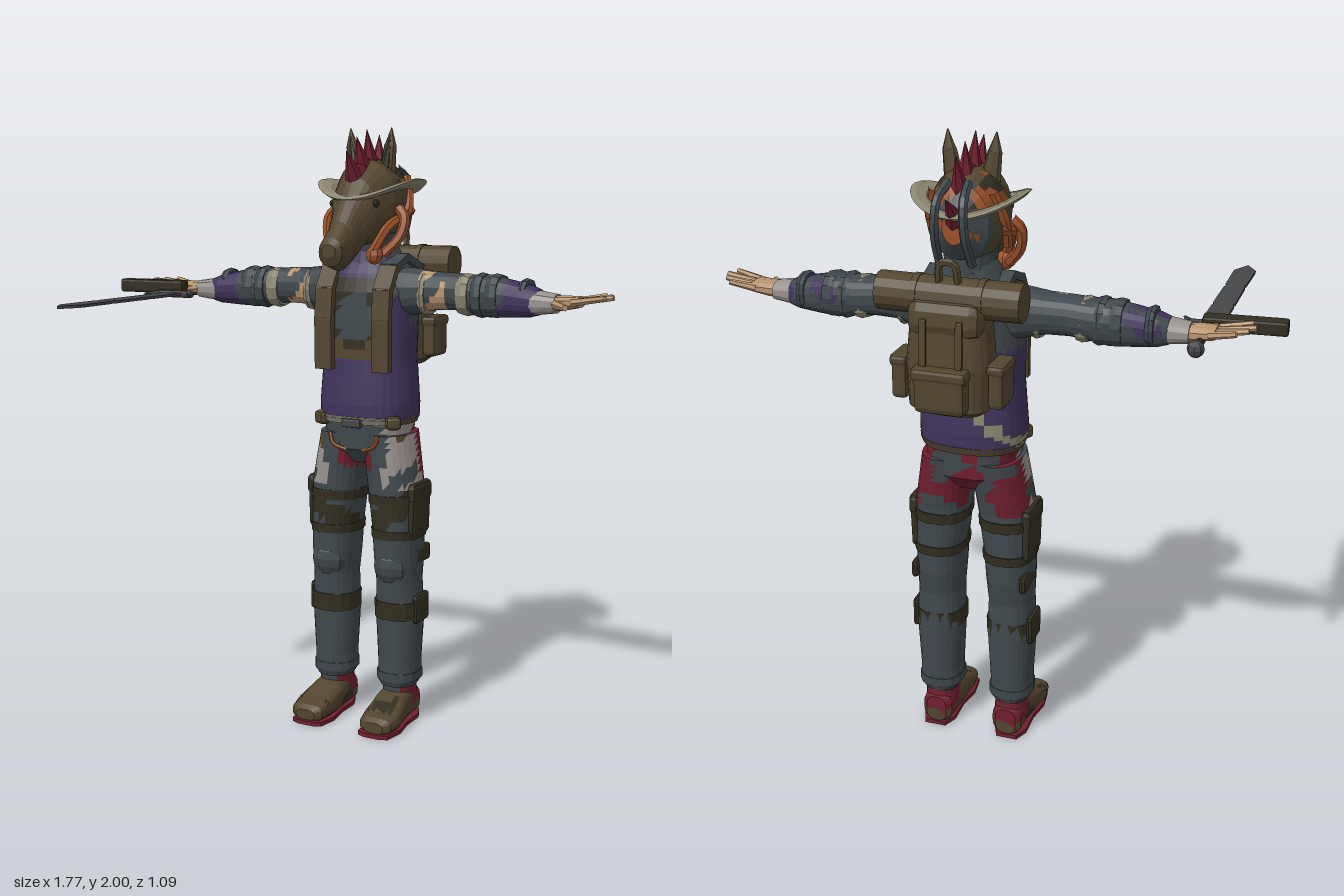
import * as THREE from 'three';
import { RoundedBoxGeometry } from 'three/addons/geometries/RoundedBoxGeometry.js';

const CX = 0.037; // body centre line
const palette = {
  slate: 0x40484d, olive: 0x52452e, purple: 0x40335a, red: 0x6f1f2e, orange: 0x9a5028,
  beige: 0x8a8670, skin: 0xb8946f, darkOlive: 0x322e20, gunmetal: 0x454648, paleGrey: 0x99928f,
};
const M = {};

function add(parent, name, geo, color, pos = [0, 0, 0], rot = [0, 0, 0], scale = [1, 1, 1]) {
  const m = new THREE.Mesh(geo, Array.isArray(color) ? color : M[color]);
  m.name = name;
  m.position.set(...pos);
  m.rotation.set(...rot);
  m.scale.set(...scale);
  parent.add(m);
  return m;
}

// Rings [t, centreA, centreB, radiusA, radiusB] along an axis; color is a key or a rule of x, y, z.
function loft(parent, name, axis, rings, color, { n = 14, p = 2.4, sub = 1 } = {}) {
  const R = [];
  rings.forEach((r, i) => {
    if (!i) return R.push(r);
    for (let k = 1; k <= sub; k++) R.push(r.map((v, j) => rings[i - 1][j] + (v - rings[i - 1][j]) * k / sub));
  });
  const put = (t, a, b) => axis === 'y' ? [a, t, b] : axis === 'x' ? [t, a, b] : [a, b, t];
  const rows = R.map(([t, a, b, ra, rb]) => Array.from({ length: n }, (_, i) => {
    const c = Math.cos(i / n * Math.PI * 2), s = Math.sin(i / n * Math.PI * 2);
    return put(t, a + ra * Math.sign(c) * Math.abs(c) ** (2 / p), b + rb * Math.sign(s) * Math.abs(s) ** (2 / p));
  }));
  const flip = (axis !== 'y') !== (R[R.length - 1][0] < R[0][0]);
  const lists = {};
  const tri = (key, a, b, c) => (lists[key] ??= []).push(...a, ...(flip ? c : b), ...(flip ? b : c));
  const keyAt = (...q) => typeof color === 'string' ? color : color(...q[0].map((_, i) => q.reduce((t, v) => t + v[i], 0) / q.length));
  for (let k = 0; k < rows.length - 1; k++) for (let i = 0; i < n; i++) {
    const j = (i + 1) % n, a = rows[k][i], b = rows[k + 1][i], c = rows[k][j], d = rows[k + 1][j];
    tri(keyAt(a, b, c), a, b, c);
    tri(keyAt(c, b, d), c, b, d);
  }
  const e = rows.length - 1, c0 = put(...R[0]), c1 = put(...R[e]);
  for (let i = 0; i < n; i++) {
    const j = (i + 1) % n;
    tri(keyAt(rows[0][i], c0), c0, rows[0][i], rows[0][j]);
    tri(keyAt(rows[e][i], c1), c1, rows[e][j], rows[e][i]);
  }
  const geo = new THREE.BufferGeometry(), mats = [];
  let all = [];
  for (const [key, list] of Object.entries(lists)) {
    geo.addGroup(all.length / 3, list.length / 3, mats.length);
    mats.push(M[key]);
    all = all.concat(list);
  }
  geo.setAttribute('position', new THREE.Float32BufferAttribute(all, 3));
  geo.computeVertexNormals();
  return add(parent, name, geo, mats);
}

const box = (w, h, d, r = 0.012) => new RoundedBoxGeometry(w, h, d, 1, r);
function tube(parent, name, pts, r, color) {
  const curve = new THREE.CatmullRomCurve3(pts.map(q => new THREE.Vector3(...q)));
  return add(parent, name, new THREE.TubeGeometry(curve, 12, r, 6), color);
}
// Tapered rod between two points
function rod(parent, name, a, b, ra, rb, color, sides = 6) {
  const A = new THREE.Vector3(...a), d = new THREE.Vector3(...b).sub(A);
  const m = add(parent, name, new THREE.CylinderGeometry(rb, ra, d.length(), sides), color);
  m.position.copy(A).addScaledVector(d, 0.5);
  m.quaternion.setFromUnitVectors(new THREE.Vector3(0, 1, 0), d.normalize());
  return m;
}
const camo = (x, y, z) => Math.sin(x * 38 + 2 * Math.sin(y * 27)) + Math.sin(y * 41 + z * 33);

function buildLeg(g, s) {
  const X = o => CX + s * o;
  loft(g, 'trouserLeg', 'y', [
    [0.13, X(0.122), -0.22, 0.058, 0.07], [0.15, X(0.122), -0.22, 0.07, 0.078], [0.21, X(0.122), -0.22, 0.068, 0.078],
    [0.38, X(0.122), -0.22, 0.078, 0.082], [0.5, X(0.12), -0.215, 0.072, 0.085], [0.58, X(0.118), -0.215, 0.076, 0.098],
    [0.68, X(0.115), -0.215, 0.08, 0.1], [0.82, X(0.105), -0.215, 0.088, 0.103], [0.92, X(0.09), -0.22, 0.085, 0.112],
    [1.0, X(0.08), -0.225, 0.08, 0.118]],
  (x, y, z) => {
    const out = (x - CX) * s;
    if (y < 0.81) { // diagonal holster wrap on the thigh front
      const band = y - (out - 0.11) * 0.6;
      return z > -0.22 && band > 0.69 && band < 0.77 ? 'darkOlive' : 'slate';
    }
    if (z < -0.24) return (out > 0.1 && camo(x, y, z) > -0.9) || camo(x, y, z) > 0.4 ? 'red' : 'slate';
    if (out > 0.12) return camo(x, y, z) > -0.4 ? 'paleGrey' : y > 0.9 ? 'olive' : 'slate';
    if (out > 0.1 && y < 0.9) return 'paleGrey';
    return y < 0.94 && y > 0.88 && out < 0.06 ? 'red' : 'slate';
  }, { sub: 4, n: 24 });
  // Straps and pads
  const strap = (name, y, h, o, rx, rz) => loft(g, name, 'y',
    [[y, X(o), -0.216, rx, rz], [y + h, X(o), -0.216, rx + 0.002, rz + 0.001]], 'darkOlive');
  strap('thighStrap', 0.65, 0.03, 0.116, 0.084, 0.104);
  strap('upperThighStrap', 0.765, 0.035, 0.109, 0.089, 0.106);
  strap('calfStrap', 0.37, 0.06, 0.122, 0.08, 0.085);
  add(g, 'thighPouch', box(0.03, 0.18, 0.135), 'darkOlive', [X(0.186), 0.75, -0.22], [0, 0, -s * 0.03]);
  add(g, 'thighPouchFlap', box(0.034, 0.06, 0.14), 'darkOlive', [X(0.188), 0.805, -0.22]);
  add(g, 'calfPouch', box(0.024, 0.1, 0.1), 'darkOlive', [X(0.195), 0.405, -0.225]);
  add(g, 'kneeStrap', box(0.024, 0.06, 0.12), 'darkOlive', [X(0.182), 0.585, -0.25]);
  add(g, 'kneePad', new THREE.SphereGeometry(1, 10, 8), 'slate', [X(0.118), 0.555, -0.165], [0, 0, 0], [0.066, 0.07, 0.056]);
  loft(g, 'trouserCuff', 'y', [[0.15, X(0.122), -0.22, 0.073, 0.081], [0.18, X(0.122), -0.22, 0.073, 0.081]], 'slate');
  // Boot
  loft(g, 'ankle', 'y', [[0.06, X(0.122), -0.225, 0.054, 0.068], [0.15, X(0.122), -0.22, 0.052, 0.064]],
    (x, y, z) => z > -0.17 && Math.abs(x - X(0.122)) < 0.025 ? 'slate' : 'red', { sub: 3, n: 18 });
  loft(g, 'boot', 'z', [
    [-0.295, X(0.122), 0.06, 0.035, 0.045], [-0.28, X(0.122), 0.06, 0.05, 0.05], [-0.2, X(0.122), 0.068, 0.055, 0.058],
    [-0.14, X(0.124), 0.058, 0.06, 0.05], [-0.07, X(0.13), 0.045, 0.066, 0.036], [-0.02, X(0.13), 0.038, 0.058, 0.028],
    [-0.003, X(0.13), 0.034, 0.035, 0.018]],
  (x, y, z) => {
    if (z < -0.24) return y > 0.055 ? 'red' : 'olive';
    if (y < 0.025 && z < -0.16) return 'orange';
    return z < -0.06 && camo(x, y, z) > 0.8 ? 'darkOlive' : 'olive';
  }, { p: 3, sub: 2, n: 18 });
  const sole = new THREE.Shape();
  sole.setFromPoints([[-0.035, -0.298], [0.035, -0.298], [0.055, -0.25], [0.055, -0.16], [0.068, -0.08], [0.055, -0.01],
    [0.03, 0.002], [-0.03, 0.002], [-0.055, -0.01], [-0.065, -0.08], [-0.052, -0.16], [-0.055, -0.25]].map(q => new THREE.Vector2(...q)));
  add(g, 'sole', new THREE.ExtrudeGeometry(sole, { depth: 0.014, bevelEnabled: false }).rotateX(Math.PI / 2), 'red', [X(0.126), 0.014, 0]);
}

function buildArm(g, s) {
  const X = o => CX + s * o;
  loft(g, 'sleeve', 'x', [
    [X(0.09), 1.465, -0.23, 0.085, 0.085], [X(0.16), 1.47, -0.23, 0.077, 0.078], [X(0.24), 1.475, -0.23, 0.062, 0.066],
    [X(0.31), 1.475, -0.23, 0.06, 0.063], [X(0.37), 1.47, -0.23, 0.062, 0.065], [X(0.43), 1.465, -0.228, 0.068, 0.066],
    [X(0.5), 1.46, -0.222, 0.06, 0.06], [X(0.57), 1.455, -0.215, 0.05, 0.055], [X(0.6), 1.453, -0.212, 0.04, 0.045]],
  (x, y, z) => {
    const d = (x - CX) * s;
    if (d > 0.2 && d < 0.29 && z > -0.22 && camo(x, y, z) > -0.5) return 'skin';
    if (d > 0.49 && z > -0.235) return 'purple';
    return d > 0.4 && camo(x, y, z) > 0.8 ? 'purple' : 'slate';
  }, { sub: 4, n: 18 });
  // Rolled folds and bands: distance along the arm, radius, half width
  for (const [d, r, w, c] of [[0.21, 0.073, 0.012, 'beige'], [0.35, 0.069, 0.02, 'beige'], [0.4, 0.073, 0.016, 'slate'],
    [0.45, 0.071, 0.02, 'slate'], [0.55, 0.06, 0.012, 'slate']])
    loft(g, 'sleeveBand', 'x', [[X(d - w), 1.467, -0.225, r - 0.006, r - 0.006], [X(d), 1.467, -0.225, r, r],
      [X(d + w), 1.467, -0.225, r - 0.004, r - 0.004]], c, { n: 12 });
  loft(g, 'wristWrap', 'x', [[X(0.575), 1.453, -0.21, 0.042, 0.048], [X(0.66), 1.452, -0.208, 0.03, 0.042]], 'paleGrey');
  // Hand with fanned fingers
  loft(g, 'palm', 'x', [[X(0.65), 1.452, -0.207, 0.024, 0.036], [X(0.68), 1.455, -0.205, 0.024, 0.045],
    [X(0.735), 1.46, -0.207, 0.018, 0.045]], 'skin', { n: 10 });
  for (let i = 0; i < 4; i++) {
    const z = -0.242 + i * 0.024, tip = 0.8 + [0.0, 0.03, 0.045, 0.03][i], spread = (i - 1.4) * 0.014;
    rod(g, 'finger', [X(0.72), 1.46, z], [X(tip), 1.478, z + spread], 0.013, 0.009, 'skin');
  }
  rod(g, 'thumb', [X(0.66), 1.452, -0.18], [X(0.72), 1.448, -0.105], 0.015, 0.01, 'skin');
}

function buildTorso(g) {
  loft(g, 'pelvis', 'y', [[0.9, CX, -0.225, 0.06, 0.08], [0.95, CX, -0.225, 0.14, 0.12], [1.06, CX, -0.225, 0.158, 0.124]],
    (x, y, z) => {
      const dx = Math.abs(x - CX);
      if (z < -0.24) return dx > 0.11 || camo(x, y, z) > 0 ? 'red' : 'slate';
      return dx > 0.1 && camo(x, y, z) > -0.2 ? 'paleGrey' : 'slate';
    }, { n: 24, sub: 4 });
  for (const s of [-1, 1]) tube(g, 'trouserStripe', [[CX + s * 0.09, 1.0, -0.108], [CX + s * 0.075, 0.965, -0.102], [CX + s * 0.03, 0.945, -0.112]], 0.007, 'orange');
  loft(g, 'shirt', 'y', [[1.05, CX, -0.225, 0.166, 0.134], [1.1, CX, -0.225, 0.168, 0.134], [1.25, CX, -0.225, 0.158, 0.122],
    [1.38, CX, -0.225, 0.162, 0.12], [1.47, CX, -0.228, 0.168, 0.12], [1.53, CX, -0.232, 0.145, 0.105],
    [1.58, CX, -0.24, 0.1, 0.085], [1.63, CX, -0.245, 0.07, 0.075]],
  (x, y, z) => {
    const dx = Math.abs(x - CX), front = z > -0.2;
    if (front && dx < 0.11 && y > 1.25) {
      if (y > 1.51 && dx < 0.09) return 'purple';
      if (y < 1.31) return y < 1.28 || dx > 0.05 ? 'olive' : 'darkOlive';
      return y < 1.47 && Math.hypot(dx, (y - 1.38) * 0.8) < 0.07 ? 'slate' : 'darkOlive';
    }
    // pale slash on the right of the back
    if (z < -0.2 && x < CX - 0.03 && y < 1.22 && Math.abs(y - 1.12 - (x - CX + 0.1) * 0.9) < 0.018) return 'beige';
    return y < (front ? 1.46 : 1.36) ? 'purple' : 'slate';
  }, { n: 32, sub: 4 });
  loft(g, 'belt', 'y', [[1.035, CX, -0.225, 0.16, 0.128], [1.06, CX, -0.225, 0.168, 0.137]], (x, y, z) => z > -0.14 ? 'beige' : 'olive', { n: 24 });
  add(g, 'buckle', box(0.07, 0.03, 0.02, 0.006), 'gunmetal', [CX, 1.04, -0.092]);
  for (const s of [-1, 1]) add(g, 'beltPouch', box(0.05, 0.045, 0.05), 'olive', [CX + s * 0.13, 1.045, -0.135], [0, s * 0.6, 0]);
  loft(g, 'collar', 'y', [[1.53, CX, -0.235, 0.1, 0.1], [1.6, CX, -0.24, 0.085, 0.085]],
    (x, y, z) => z > -0.17 ? 'purple' : 'slate', { n: 20 });
  loft(g, 'neck', 'y', [[1.55, CX, -0.245, 0.07, 0.08], [1.68, CX, -0.235, 0.08, 0.095]], 'slate');
}

function buildBackpack(g) {
  loft(g, 'packBody', 'y', [[1.21, CX, -0.41, 0.1, 0.065], [1.23, CX, -0.415, 0.125, 0.085], [1.36, CX, -0.415, 0.13, 0.088],
    [1.48, CX, -0.41, 0.12, 0.08], [1.56, CX, -0.4, 0.09, 0.06]], 'olive', { p: 3, n: 20 });
  add(g, 'packFlap', box(0.23, 0.11, 0.15, 0.035), 'olive', [CX, 1.5, -0.42], [0.12, 0, 0]);
  add(g, 'backPocket', box(0.16, 0.13, 0.06, 0.02), 'olive', [CX, 1.295, -0.505]);
  add(g, 'backPocketFlap', box(0.17, 0.04, 0.066, 0.012), 'olive', [CX, 1.35, -0.505]);
  const roll = new THREE.CylinderGeometry(0.058, 0.058, 0.44, 14).rotateZ(Math.PI / 2);
  add(g, 'bedroll', roll, 'olive', [CX, 1.555, -0.41]);
  tube(g, 'packHandle', [[CX - 0.03, 1.6, -0.43], [CX - 0.02, 1.66, -0.44], [CX + 0.02, 1.66, -0.44], [CX + 0.03, 1.6, -0.43]], 0.012, 'olive');
  const path = [[1.22, -0.098], [1.38, -0.094], [1.48, -0.104], [1.55, -0.15], [1.58, -0.23], [1.54, -0.34]];
  for (const s of [-1, 1]) {
    add(g, 'sidePocket', box(0.05, 0.13, 0.11, 0.015), 'olive', [CX + s * 0.15, 1.305, -0.41]);
    add(g, 'sidePocketFlap', box(0.056, 0.035, 0.118), 'olive', [CX + s * 0.15, 1.36, -0.41]);
    add(g, 'packBuckleStrap', box(0.022, 0.14, 0.01, 0.003), 'olive', [CX + s * 0.055, 1.44, -0.503], [0.06, 0, 0]);
    add(g, 'rollStrap', new THREE.CylinderGeometry(0.061, 0.061, 0.02, 14).rotateZ(Math.PI / 2), 'olive', [CX + s * 0.1, 1.555, -0.41]);
    // Shoulder strap made of short plates along its path
    for (let i = 1; i < path.length; i++) {
      const [y0, z0] = path[i - 1], [y1, z1] = path[i];
      add(g, 'shoulderStrap', new THREE.BoxGeometry(0.062, Math.hypot(y1 - y0, z1 - z0) + 0.012, 0.025), i < 4 ? 'olive' : 'slate',
        [CX + s * 0.105, (y0 + y1) / 2, (z0 + z1) / 2], [Math.atan2(z1 - z0, y1 - y0), 0, 0]);
    }
  }
}

function buildHead(g) {
  loft(g, 'animalHead', 'z', [[0.07, CX, 1.61, 0.025, 0.02], [0.055, CX, 1.605, 0.042, 0.045], [0.0, CX, 1.622, 0.046, 0.078],
    [-0.05, CX, 1.67, 0.056, 0.098], [-0.1, CX, 1.725, 0.08, 0.112], [-0.18, CX, 1.76, 0.108, 0.135],
    [-0.27, CX, 1.76, 0.112, 0.137], [-0.34, CX, 1.755, 0.09, 0.112], [-0.385, CX, 1.75, 0.035, 0.05]],
  (x, y, z) => {
    const dx = Math.abs(x - CX);
    if (z > -0.16) return 'olive';
    if (y > 1.8 && dx > 0.05 && z < -0.22) return camo(x, y, z) > -0.6 ? 'orange' : 'darkOlive';
    if (z < -0.32) return y > 1.72 && camo(x, y, z) > 0.5 ? 'orange' : 'slate';
    return y < 1.67 ? 'slate' : 'olive';
  }, { n: 24, sub: 3, p: 2.2 });
  // Curved hat brim
  const brim = new THREE.TorusGeometry(0.15, 0.03, 6, 32).rotateX(Math.PI / 2).scale(0.98, 0.35, 1.04);
  const P = brim.attributes.position;
  for (let i = 0; i < P.count; i++) P.setY(i, P.getY(i) + 1.6 * P.getX(i) ** 2 - 0.45 * Math.max(P.getZ(i), 0) ** 2);
  brim.computeVertexNormals();
  add(g, 'hatBrim', brim, 'beige', [CX, 1.783, -0.232]);
  // Red crest
  const spikes = [[1.84, -0.1, 1.92, -0.05], [1.87, -0.16, 1.965, -0.12], [1.88, -0.215, 1.99, -0.19],
    [1.87, -0.275, 1.975, -0.28], [1.84, -0.325, 1.95, -0.36], [1.77, -0.37, 1.845, -0.445]];
  for (const [y0, z0, y1, z1] of spikes)
    rod(g, 'crestSpike', [CX, y0, z0], [CX, y1, z1], 0.036, 0.001, 'red', 6).scale.x = 0.75;
  tube(g, 'crestBase', spikes.map(([y, z]) => [CX, y, z]), 0.024, 'red');
  for (const s of [-1, 1]) {
    const X = o => CX + s * o;
    rod(g, 'ear', [X(0.055), 1.85, -0.225], [X(0.07), 1.94, -0.222], 0.032, 0.022, 'olive', 8).scale.z = 0.6;
    rod(g, 'earTip', [X(0.07), 1.938, -0.222], [X(0.075), 1.995, -0.22], 0.022, 0.002, 'olive', 8).scale.z = 0.6;
    rod(g, 'earInner', [X(0.056), 1.87, -0.208], [X(0.073), 1.97, -0.213], 0.018, 0.002, 'darkOlive', 6).scale.z = 0.6;
    add(g, 'eye', new THREE.SphereGeometry(0.016, 8, 6), 'darkOlive', [X(0.078), 1.755, -0.105], [0, 0, 0], [0.6, 0.8, 1]);
    add(g, 'nostril', new THREE.SphereGeometry(0.009, 6, 5), 'darkOlive', [X(0.034), 1.62, 0.05]);
    // Orange bands and locks
    tube(g, 'cheekLoop', [[X(0.112), 1.74, -0.2], [X(0.138), 1.71, -0.19], [X(0.132), 1.65, -0.17], [X(0.085), 1.59, -0.14]], 0.017, 'orange');
    tube(g, 'faceStrap', [[X(0.108), 1.73, -0.3], [X(0.118), 1.71, -0.22], [X(0.1), 1.68, -0.15], [X(0.065), 1.6, -0.11]], 0.016, 'orange');
    tube(g, 'rearStrap', [[X(0.09), 1.84, -0.3], [X(0.116), 1.75, -0.27], [X(0.11), 1.67, -0.23]], 0.016, 'orange');
    add(g, 'orangeBobble', new THREE.SphereGeometry(0.03, 8, 6), 'orange', [X(0.066), 1.59, -0.12]);
    tube(g, 'darkLock', [[X(0.03), 1.87, -0.34], [X(0.04), 1.83, -0.41], [X(0.045), 1.74, -0.42], [X(0.05), 1.64, -0.37]], 0.014, 'slate');
  }
}

function buildWeapons(g) {
  const x = -0.658, y = 1.44;
  const edge = [[-0.034, -0.08], [-0.034, 0.1], [-0.029, 0.11], [-0.034, 0.125], [-0.033, 0.3], [-0.027, 0.31], [-0.033, 0.33], [-0.035, 0.49]];
  const outline = [...edge, [0, 0.547], ...edge.map(([a, b]) => [-a, b - 0.012]).reverse()].map(q => new THREE.Vector2(...q));
  const blade = new THREE.ExtrudeGeometry(new THREE.Shape(outline), { depth: 0.009, bevelEnabled: false }).rotateX(Math.PI / 2);
  add(g, 'swordBlade', blade, 'gunmetal', [x, y + 0.0045, 0]);
  add(g, 'swordGuard', box(0.14, 0.025, 0.03, 0.008), 'gunmetal', [x, y, -0.09]);
  for (const s of [-1, 1]) rod(g, 'guardHook', [x + s * 0.06, y, -0.09], [x + s * 0.09, y, -0.035], 0.014, 0.004, 'gunmetal');
  rod(g, 'swordGrip', [x, y, -0.3], [x, y, -0.09], 0.013, 0.014, 'darkOlive', 8);
  add(g, 'swordPommel', new THREE.SphereGeometry(0.026, 8, 6), 'gunmetal', [x, y, -0.308]);
  const gun = new THREE.Group();
  gun.name = 'pistol';
  gun.position.set(-0.765, 1.462, -0.117);
  gun.rotation.y = 0.08;
  g.add(gun);
  add(gun, 'slide', box(0.25, 0.045, 0.05, 0.008), 'darkOlive');
  add(gun, 'pistolGrip', box(0.05, 0.03, 0.085, 0.008), 'darkOlive', [0.085, -0.008, -0.05], [0, 0.15, 0]);
}

export function createModel() {
  for (const [name, color] of Object.entries(palette)) {
    M[name] = new THREE.MeshStandardMaterial({ color, flatShading: true });
    M[name].name = name;
  }
  const root = new THREE.Group();
  root.name = 'adventurer';
  const part = (name, build, s) => {
    const g = new THREE.Group();
    g.name = name;
    build(g, s);
    root.add(g);
  };
  for (const [side, s] of [['left', 1], ['right', -1]]) {
    part(side + 'Leg', buildLeg, s);
    part(side + 'Arm', buildArm, s);
  }
  part('torso', buildTorso);
  part('backpack', buildBackpack);
  part('head', buildHead);
  part('weapons', buildWeapons);
  return root;
}
